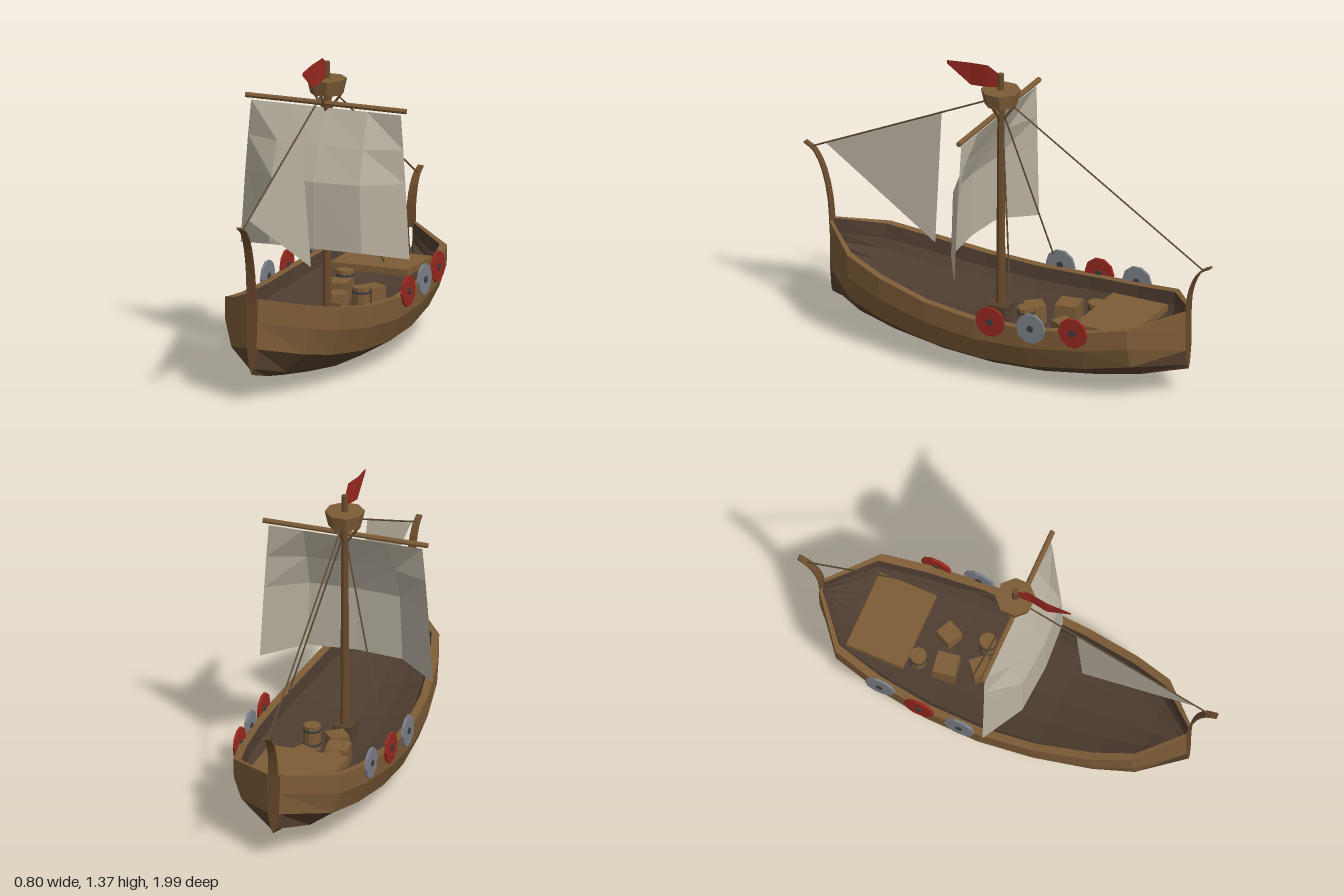
import * as THREE from 'three';

const WOOD = 0x7d5c37, DARK = 0x55402d, INNER = 0x4d3c30, MAST = 0x6a4a2c;
const ROPE = 0x5a4a36, SAIL = 0xb8b0a0, RED = 0x96281f, GREY = 0x7b7f86, IRON = 0x3a3d42;

const V = (x, y, z) => new THREE.Vector3(x, y, z);
const paint = (color, side = THREE.FrontSide) =>
  new THREE.MeshStandardMaterial({ color, flatShading: true, side });

export function createModel() {
  const ship = new THREE.Group();
  ship.name = 'sailingShip';

  const add = (name, geometry, color, pos = [0, 0, 0], rot = [0, 0, 0], side) => {
    const m = new THREE.Mesh(geometry, paint(color, side));
    m.name = name;
    m.position.set(...pos);
    m.rotation.set(...rot);
    ship.add(m);
    return m;
  };

  // Faceted surface through a list of sections with equal point counts
  const loft = (sections) => {
    const pts = [];
    for (let i = 0; i < sections.length - 1; i++) {
      for (let j = 0; j < sections[i].length - 1; j++) {
        const a = sections[i][j], d = sections[i][j + 1];
        const b = sections[i + 1][j], c = sections[i + 1][j + 1];
        pts.push(a, d, c, a, c, b);
      }
    }
    const g = new THREE.BufferGeometry().setFromPoints(pts);
    g.computeVertexNormals();
    return g;
  };

  // Straight round bar between two points
  const bar = (name, a, b, r, color, sides = 5, r2 = r) => {
    const dir = b.clone().sub(a);
    const m = add(name, new THREE.CylinderGeometry(r2, r, dir.length(), sides), color);
    m.position.copy(a).add(b).multiplyScalar(0.5);
    m.quaternion.setFromUnitVectors(V(0, 1, 0), dir.normalize());
    return m;
  };

  // Hull stations from bow to stern: z, half width, sheer height, keel height
  const stations = [
    [0.86, 0.027, 0.47, 0.125], [0.68, 0.205, 0.415, 0.078], [0.5, 0.262, 0.37, 0.042],
    [0.25, 0.308, 0.325, 0.011], [0, 0.33, 0.305, 0], [-0.25, 0.326, 0.312, 0.011],
    [-0.5, 0.296, 0.332, 0.045], [-0.71, 0.248, 0.366, 0.082], [-0.885, 0.03, 0.405, 0.125],
  ];
  const outerProfile = [[1, 1], [0.99, 0.69], [0.85, 0.34], [0.43, 0.08], [0, 0]];
  const innerProfile = [[1, 1], [0.97, 0.8], [0.85, 0.68], [0.45, 0.6], [0, 0.56]];
  const half = (profile, inset, side) => stations.map(([z, w, top, keel]) =>
    profile.map(([fx, fy]) =>
      V(side * fx * Math.max(w - inset, 0.008), keel + (top - keel) * fy, z)));
  const [outL, outR] = [1, -1].map((s) => half(outerProfile, 0, s));
  const [inL, inR] = [1, -1].map((s) => half(innerProfile, 0.036, s));
  const last = stations.length - 1;

  // Planking: upper strakes, darker bottom, inner skin
  add('upperPlanksLeft', loft(outL.map((s) => s.slice(0, 3))), WOOD);
  add('upperPlanksRight', loft(outR.map((s) => s.slice(0, 3).reverse())), WOOD);
  add('hullBottom', loft(outL.map((s, i) => [...s.slice(2), ...outR[i].slice(2, 4).reverse()])), DARK);
  add('innerHull', loft(inR.map((s, i) => [...s, ...inL[i].slice(0, 4).reverse()])), INNER);
  add('railLeft', loft(outL.map((s, i) => [inL[i][0], s[0]])), WOOD);
  add('railRight', loft(outR.map((s, i) => [s[0], inR[i][0]])), WOOD);
  add('stem', loft([outR[0], outL[0]]), MAST);
  add('sternBoard', loft([outL[last], outR[last]]), MAST);

  // Curved ribbon-like end posts
  const post = (name, path) => {
    const curve = new THREE.CatmullRomCurve3(path.map(([z, y]) => V(0, y, z)));
    const sections = [];
    for (let i = 0; i <= 9; i++) {
      const t = Math.min(i / 8, 1), p = curve.getPoint(t), d = curve.getTangent(t);
      const w = i > 8 ? 0 : 0.023 - 0.01 * t, k = i > 8 ? 0 : 0.004;
      const corner = (x, s) => V(x, p.y - s * d.z, p.z + s * d.y);
      sections.push([corner(-w, k), corner(w, k), corner(w, -k), corner(-w, -k), corner(-w, k)]);
    }
    add(name, loft(sections), MAST);
  };
  post('bowPost', [[0.86, 0.44], [0.87, 0.57], [0.9, 0.7], [0.945, 0.785], [0.995, 0.815]]);
  post('sternPost', [[-0.884, 0.38], [-0.892, 0.48], [-0.918, 0.56], [-0.95, 0.605], [-0.995, 0.63]]);

  // Stern platform and cargo
  add('sternDeck', new THREE.BoxGeometry(0.365, 0.03, 0.27), WOOD, [0.002, 0.3, -0.555]);
  const crates = [[-0.075, -0.26, 0.1, 0.15], [0.07, -0.31, 0.08, -0.45], [-0.02, -0.12, 0.085, 0.7]];
  for (const [x, z, s, turn] of crates) {
    add('crate', new THREE.BoxGeometry(s, s, s), WOOD, [x, 0.18 + s / 2, z], [0, turn, 0]);
  }
  for (const [x, z] of [[-0.095, -0.385], [0.09, -0.135]]) {
    add('barrel', new THREE.CylinderGeometry(0.038, 0.038, 0.115, 10), WOOD, [x, 0.24, z]);
    for (const y of [0.21, 0.275]) {
      add('barrelHoop', new THREE.CylinderGeometry(0.04, 0.04, 0.01, 10), IRON, [x, y, z]);
    }
  }

  // Mast, yard and lookout
  const mz = 0.035;
  add('mastBase', new THREE.BoxGeometry(0.09, 0.08, 0.09), DARK, [0, 0.205, mz]);
  bar('mast', V(0, 0.17, mz), V(0, 1.34, mz), 0.022, MAST, 8, 0.015);
  bar('yard', V(-0.38, 1.155, 0.045), V(0.38, 1.155, 0.045), 0.012, WOOD, 8);
  add('lookout', new THREE.CylinderGeometry(0.088, 0.072, 0.068, 8), WOOD,
    [0, 1.232, mz], [0, Math.PI / 8, 0]);
  for (let i = 0; i < 4; i++) {
    const c = Math.cos(i * Math.PI / 2), s = Math.sin(i * Math.PI / 2);
    bar('lookoutBrace', V(0.01 * c, 1.12, mz + 0.01 * s), V(0.07 * c, 1.205, mz + 0.07 * s), 0.006, MAST);
  }

  // Main sail, bellied forward towards its foot
  const columns = [[-1, 0], [-0.55, 0.88], [0, 1], [0.55, 0.88], [1, 0]];
  const rows = [[1.135, 0.355, 0], [0.98, 0.368, 0.55], [0.83, 0.379, 1], [0.495, 0.4, 1]];
  const sail = rows.map(([y, w, belly], r) => columns.map(([u, b]) =>
    V(u * w, y + (r === 3 ? 0.038 * b : 0), 0.045 + 0.01 * r / 3 + 0.125 * belly * b)));
  add('mainSail', loft(sail), SAIL, undefined, undefined, THREE.DoubleSide);

  // Fore sail and pennant
  const tack = V(0, 0.825, 0.89);
  add('foreSail', loft([[tack, tack], [V(0, 1.1, 0.325), V(0.052, 0.49, 0.33)]]), SAIL,
    undefined, undefined, THREE.DoubleSide);
  add('pennant', loft([
    [V(0, 1.335, 0.04), V(0, 1.275, 0.04)],
    [V(0.006, 1.37, 0.095), V(0.006, 1.265, 0.11)],
    [V(-0.004, 1.36, 0.19), V(-0.004, 1.255, 0.185)],
    [V(0, 1.35, 0.3), V(0, 1.335, 0.3)],
  ]), RED, undefined, undefined, THREE.DoubleSide);

  // Rigging
  bar('foreStay', V(0, 0.795, 0.965), V(0, 1.2, 0.1), 0.004, ROPE);
  bar('backStay', V(0, 0.61, -0.955), V(0, 1.2, -0.02), 0.004, ROPE);
  for (const s of [1, -1]) {
    bar('shroud', V(0.205 * s, 0.425, -0.115), V(0.005 * s, 1.15, 0.025), 0.004, ROPE);
  }

  // Shields hung along both sides, colours alternating
  const shields = [[0.333, 0.315, -0.085], [0.325, 0.32, -0.28], [0.304, 0.33, -0.475]];
  for (const s of [1, -1]) {
    shields.forEach(([x, y, z], i) => {
      const red = (i % 2 === 1) === (s < 0);
      const tilt = [0, 0, Math.PI / 2];
      add('shield', new THREE.CylinderGeometry(0.07, 0.07, 0.012, 10), red ? RED : GREY, [s * x, y, z], tilt);
      add('shieldBoss', new THREE.CylinderGeometry(0.016, 0.016, 0.02, 8), IRON, [s * x, y, z], tilt);
    });
  }
  return ship;
}
